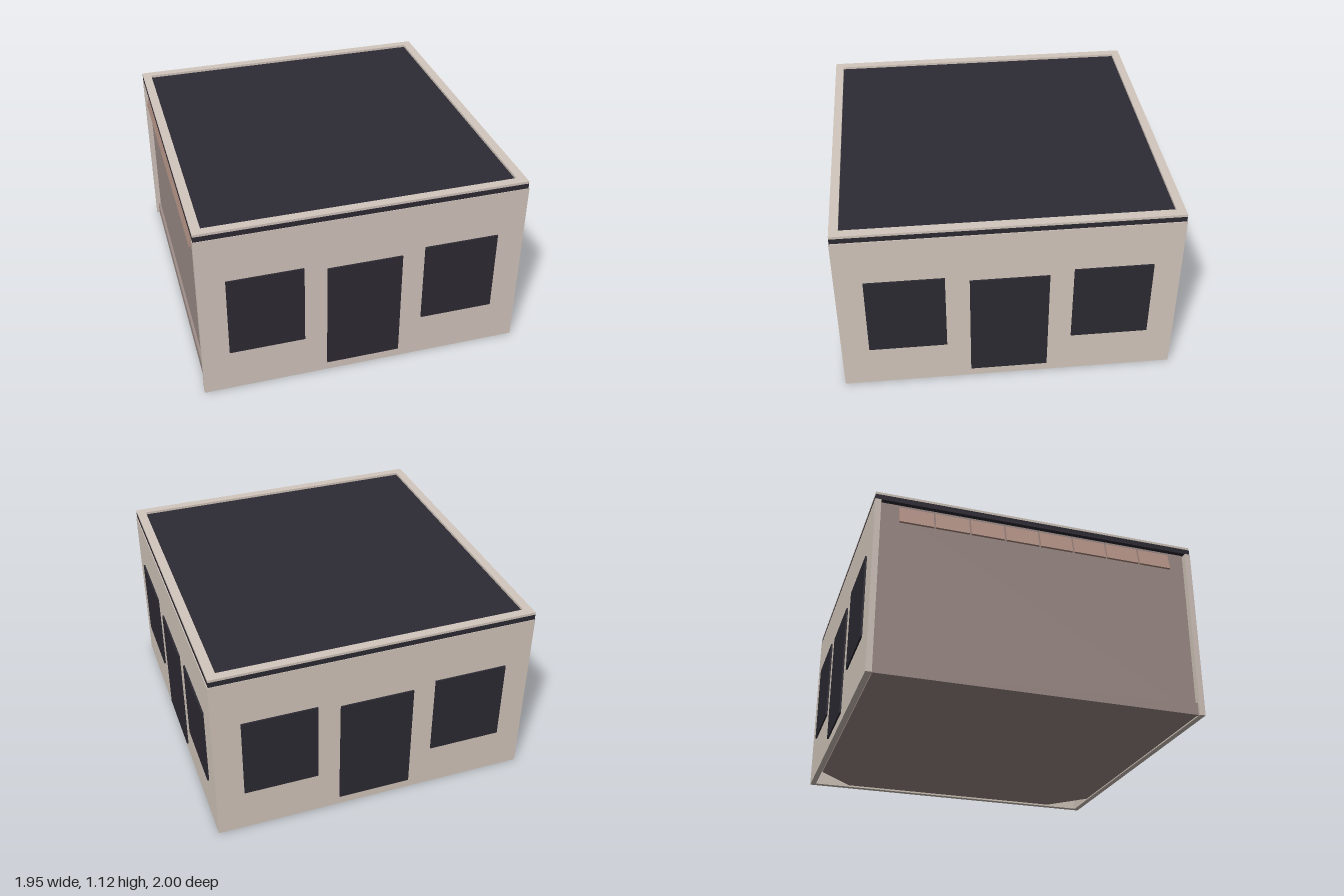
import * as THREE from 'three';

const CREAM = 0xd4c8be, DARK = 0x2d2a33, BROWN = 0xa08f8a, AWNING = 0xb39286;
const X0 = -0.97, X1 = 0.965, Z = 0.99, WALL_TOP = 1.078, T = 0.035;

function mesh(name, geometry, color) {
  const m = new THREE.Mesh(geometry, new THREE.MeshStandardMaterial({ color }));
  m.name = name;
  return m;
}

// Box given by its minimum and maximum corners
function box(name, min, max, color) {
  const size = max.map((v, i) => v - min[i]);
  const m = mesh(name, new THREE.BoxGeometry(...size), color);
  m.position.set(...max.map((v, i) => (v + min[i]) / 2));
  return m;
}

// Horizontal outline extruded upwards from height y
function slab(name, shape, y, height, color) {
  const g = new THREE.ExtrudeGeometry(shape, { depth: height, bevelEnabled: false });
  g.rotateX(-Math.PI / 2).translate(0, y, 0);
  return mesh(name, g, color);
}

const outline = (pts) => new THREE.Shape(pts.map(([x, z]) => new THREE.Vector2(x, z)));
const rect = (x0, x1, z) => outline([[x0, -z], [x1, -z], [x1, z], [x0, z]]);

// Two windows and a door, lying on a wall facing local +z
function openings() {
  const g = new THREE.Group();
  g.name = 'openings';
  const depth = 0.01;
  for (const s of [-1, 1]) {
    const c = s * 0.59;
    g.add(box('window', [c - 0.226, 0.277, -depth], [c + 0.226, 0.788, depth], DARK));
  }
  g.add(box('door', [-0.226, 0.06, -depth], [0.226, 0.757, depth], DARK));
  return g;
}

export function createModel() {
  const model = new THREE.Group();
  model.name = 'building';

  // Inner block with two cut corners
  const a = 0.91, b = 0.95, c = 0.22;
  model.add(slab('core', outline([
    [-0.94, -b], [a - c, -b], [a, -b + c], [a, b - c], [a - c, b], [-0.94, b],
  ]), 0.004, WALL_TOP - 0.004, BROWN));

  // Thin facades on three sides
  model.add(box('frontWall', [X0, 0, Z - T], [X1, WALL_TOP, Z], CREAM));
  model.add(box('backWall', [X0, 0, -Z], [X1, WALL_TOP, -Z + T], CREAM));
  model.add(box('leftWall', [X1 - T, 0, -Z + T], [X1, WALL_TOP, Z - T], CREAM));

  // Windows and doors on each facade
  const placements = [[-0.006, Z, 0, 0.985], [-0.006, -Z, Math.PI, 0.985], [X1, 0, Math.PI / 2, 1.015]];
  for (const [x, z, turn, spread] of placements) {
    const o = openings();
    o.position.set(x, 0, z);
    o.rotation.y = turn;
    o.scale.x = spread;
    model.add(o);
  }

  // Open side: plinth and a row of tilted awning panels
  model.add(box('plinth', [-0.955, 0.004, -Z + T], [-0.94, 0.08, Z - T], BROWN));
  const n = 8, pitch = 0.2125;
  for (let i = 0; i < n; i++) {
    const p = mesh('awningPanel', new THREE.BoxGeometry(0.012, 0.11, pitch - 0.01), AWNING);
    p.position.set(-0.954, 1.005, (i - (n - 1) / 2) * pitch);
    p.rotation.z = -0.22;
    model.add(p);
  }

  // Flat roof with a raised rim
  model.add(slab('roof', rect(X0 + 0.002, X1 - 0.005, Z - 0.003), WALL_TOP, 0.032, DARK));
  const rim = rect(X0 + 0.002, X1 - 0.005, Z - 0.003);
  rim.holes.push(rect(-0.915, 0.905, 0.935));
  model.add(slab('roofRim', rim, 1.11, 0.015, CREAM));

  return model;
}
